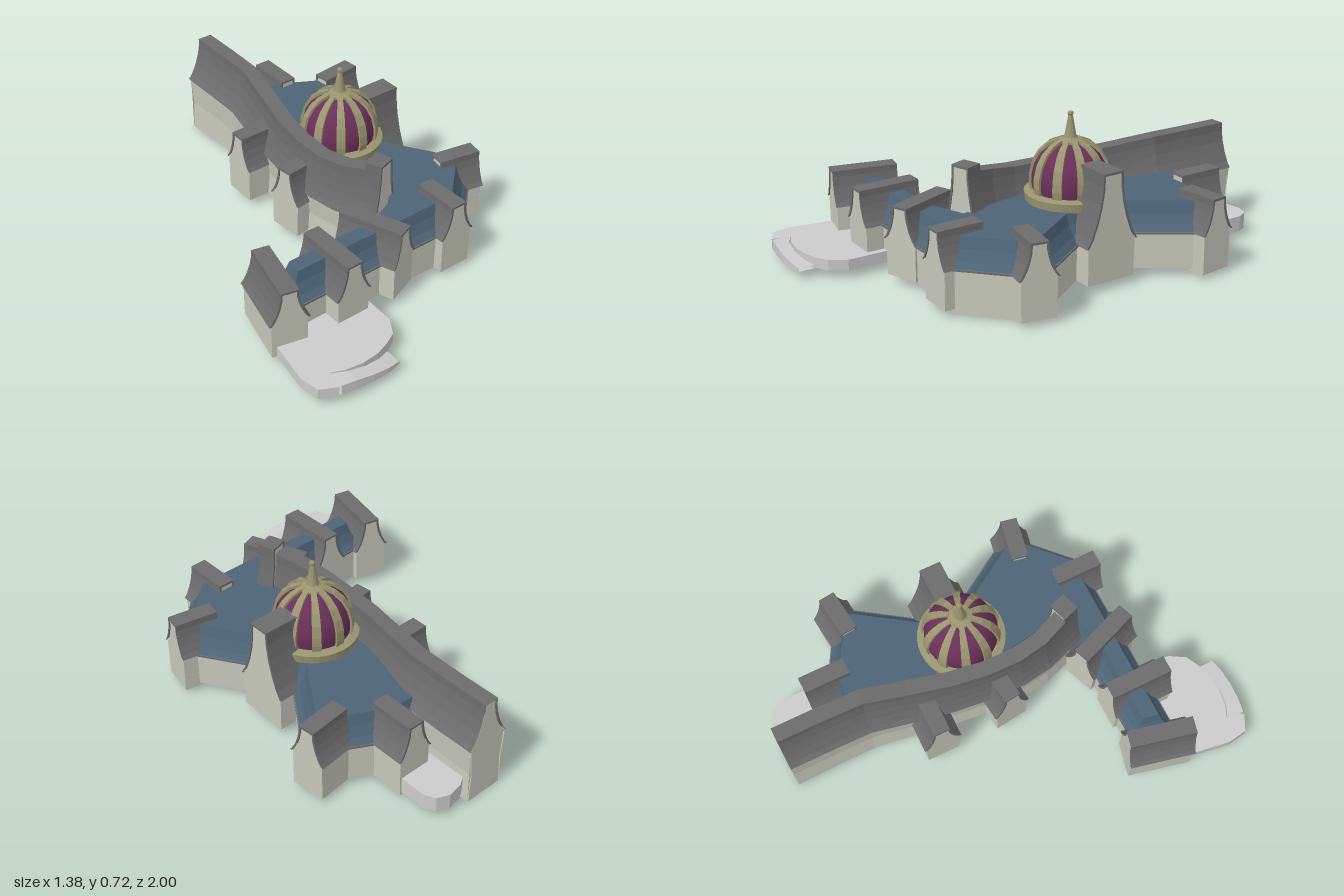
import * as THREE from 'three';
import { mergeGeometries } from 'three/addons/utils/BufferGeometryUtils.js';

const mat = (color, flatShading = true) =>
  new THREE.MeshStandardMaterial({ color, flatShading, side: THREE.DoubleSide });
const STONE = mat(0xc6c8ba), SLATE = mat(0x6c6c6c), BLUE = mat(0x4d6577);
const PAVING = mat(0xcccccc), PLUM = mat(0x6a3058, false), BRONZE = mat(0x9a9570);

function add(parent, name, geometry, material) {
  const mesh = new THREE.Mesh(geometry, material);
  mesh.name = name;
  parent.add(mesh);
  return mesh;
}

// Skin through cross-sections, each a list of [x, y, z]
function loft(sections, closed = true) {
  const n = sections[0].length, index = [];
  for (let i = 0; i < sections.length - 1; i++) {
    for (let j = 0; j < (closed ? n : n - 1); j++) {
      const a = i * n + j, b = i * n + (j + 1) % n;
      index.push(a, b, a + n, b, b + n, a + n);
    }
  }
  const g = new THREE.BufferGeometry();
  g.setAttribute('position', new THREE.Float32BufferAttribute(sections.flat(2), 3));
  g.setIndex(index);
  const flat = g.toNonIndexed();
  flat.computeVertexNormals();
  return flat;
}

// Flat polygon in plan at height y
function planCap(points, y) {
  const s = new THREE.Shape(points.map(([x, z]) => new THREE.Vector2(x, -z)));
  return new THREE.ShapeGeometry(s).rotateX(-Math.PI / 2).translate(0, y, 0);
}

// Move a plan outline inwards with mitred corners
function inset(points, d) {
  const n = points.length;
  const sign = Math.sign(THREE.ShapeUtils.area(points.map(([x, y]) => ({ x, y }))));
  const normal = (a, b) => {
    const dx = b[0] - a[0], dz = b[1] - a[1], l = Math.hypot(dx, dz);
    return [-dz / l * sign, dx / l * sign];
  };
  return points.map((p, i) => {
    const u = normal(points[(i + n - 1) % n], p), v = normal(p, points[(i + 1) % n]);
    const k = d / (1 + u[0] * v[0] + u[1] * v[1]);
    return [p[0] + (u[0] + v[0]) * k, p[1] + (u[1] + v[1]) * k];
  });
}

// Flared roof half-profile, eave to ridge, as [half width, height]
function flare(w, ridge, eave, top) {
  return [[0, 0], [0.28, 0.12], [0.6, 0.34], [0.84, 0.58], [0.98, 0.82], [1, 1]]
    .map(([t, s]) => [w + (ridge - w) * t, eave + (top - eave) * s]);
}
const mirrored = half => [...half, ...half.slice().reverse().map(([x, y]) => [-x, y])];
const at = (profile, z) => profile.map(([x, y]) => [x, y, z]);

// Buttress pavilion: stone gable ends and sides under a flared slate roof
function pavilion(parent, name, { x, z, turn = 0, len = 0.2, w = 0.09, ridge = 0.039, eave = 0.205, top = 0.362, base = 0.04 }) {
  const g = new THREE.Group();
  g.name = name;
  g.position.set(x, 0, z);
  g.rotation.y = turn;
  const outer = mirrored(flare(w, ridge, eave, top));
  const inner = mirrored(flare(w - 0.01, ridge - 0.008, eave, top - 0.01));
  const h = len / 2;
  add(g, 'roof', loft([at(inner, -h), at(outer, -h), at(outer, h), at(inner, h)], false), SLATE);
  const body = [[w - 0.012, base], ...inner, [-w + 0.012, base]];
  const face = new THREE.ShapeGeometry(new THREE.Shape(body.map(p => new THREE.Vector2(...p))));
  const e = h - 0.005;
  add(g, 'gableEnds', mergeGeometries([face.clone().translate(0, 0, e), face.clone().rotateY(Math.PI).translate(0, 0, -e)]), STONE);
  for (const s of [-1, 1]) {
    const side = new THREE.PlaneGeometry(2 * e, eave - base).rotateY(s * Math.PI / 2);
    add(g, 'sideWall', side.translate(s * (w - 0.012), (eave + base) / 2, 0), STONE);
  }
  parent.add(g);
}

// Main hall and wing: stone walls, slate eaves and a sloped blue roof
function hall(parent) {
  // x, z, foot of wall
  const plan = [[0.13, -0.71, 0.02], [0.32, -0.7, 0.02], [0.63, -0.53, 0.025], [0.635, -0.46, 0.035],
    [0.45, -0.19, 0.04], [0.45, 0.05, 0.04], [0.615, 0.31, 0.04], [0.605, 0.41, 0.005], [0.38, 0.62, 0.005],
    [0.3, 0.62, 0.03], [-0.56, 0.62, 0.04], [-0.52, 0.425, 0.04], [-0.05, 0.425, 0.04], [0.07, 0.38, 0.04],
    [0.02, 0.1, 0.04], [0.05, -0.3, 0.04], [0.13, -0.62, 0.02]];
  const ring = (d, y) => inset(plan, d).map(([x, z], i) => [x, y ?? plan[i][2], z]);
  add(parent, 'hallWalls', loft([ring(0.008), ring(0.008, 0.2)]), STONE);
  add(parent, 'hallEaves', loft([ring(0.008, 0.196), ring(-0.004, 0.2), ring(-0.004, 0.208), ring(0.004, 0.21)]), SLATE);
  add(parent, 'hallRoofSlope', loft([ring(0, 0.208), ring(0.025, 0.235), ring(0.048, 0.28), ring(0.062, 0.328)]), BLUE);
  add(parent, 'hallRoofTop', planCap(inset(plan, 0.062), 0.328), BLUE);
}

// Long curved spine with a flared ridge roof
function spine(parent) {
  // x, z, half width, eave, top, foot
  const stations = [[0.125, -1, 0.105, 0.285, 0.49, 0], [0.125, -0.8, 0.105, 0.285, 0.49, 0.012],
    [0.12, -0.6, 0.104, 0.285, 0.49, 0.028], [0.075, -0.4, 0.095, 0.265, 0.47, 0.04],
    [0.035, -0.22, 0.085, 0.25, 0.455, 0.04], [0.012, -0.05, 0.08, 0.245, 0.445, 0.04],
    [0.008, 0.1, 0.08, 0.245, 0.447, 0.04], [0.025, 0.23, 0.08, 0.25, 0.465, 0.04], [0.08, 0.38, 0.085, 0.26, 0.495, 0.04]];
  const pt = i => new THREE.Vector2(...stations[Math.min(Math.max(i, 0), stations.length - 1)].slice(0, 2));
  const sections = fn => stations.map((s, i) => {
    const t = pt(i + 1).sub(pt(i - 1)).normalize();
    return fn(s).map(([o, y]) => [s[0] + o * t.y, y, s[1] - o * t.x]);
  });
  const roof = ([, , w, eave, top]) => mirrored(flare(w, 0.035, eave, top));
  const wall = side => ([, , w, eave, , foot]) => [[side * (w - 0.012), foot], [side * (w - 0.02), (foot + eave) / 2], [side * (w - 0.008), eave]];
  add(parent, 'spineRoof', loft(sections(roof), false), SLATE);
  for (const s of [-1, 1]) {
    add(parent, 'spineWall', loft(sections(wall(s)), false), STONE);
    const lip = ([, , w, eave]) => [[s * w, eave], [s * (w - 0.012), eave - 0.006]];
    add(parent, 'spineEave', loft(sections(lip), false), SLATE);
  }
  const [x, z, w, eave, top] = stations[0];
  const end = [[0.093, 0], ...mirrored(flare(w - 0.01, 0.027, eave, top - 0.01)), [-0.093, 0]];
  const face = new THREE.ShapeGeometry(new THREE.Shape(end.map(p => new THREE.Vector2(...p))));
  add(parent, 'spineGable', face.rotateY(Math.PI).translate(x, 0, z + 0.005), STONE);
}

// Ribbed dome with base ring and spire
function dome(parent) {
  const g = new THREE.Group();
  g.name = 'dome';
  g.position.set(0.228, 0, -0.065);
  const lathe = (pts, n) => new THREE.LatheGeometry(pts.map(p => new THREE.Vector2(...p)), n);
  const curve = [[0.155, 0.34], [0.166, 0.4], [0.165, 0.44], [0.153, 0.49], [0.127, 0.535], [0.09, 0.567], [0.045, 0.585], [0, 0.59]];
  add(g, 'domeShell', lathe(curve, 40), PLUM);
  add(g, 'domeRing', lathe([[0.15, 0.325], [0.195, 0.325], [0.2, 0.365], [0.175, 0.372], [0.155, 0.372]], 32), BRONZE);
  const inner = curve.slice(0, 7);
  const outer = inner.map(([r, y], i) => [r + 0.012 - i * 0.001, y + i * 0.002]).reverse();
  const rib = new THREE.ExtrudeGeometry(new THREE.Shape([...inner, ...outer].map(p => new THREE.Vector2(...p))),
    { depth: 1, bevelEnabled: false }).translate(0, 0, -0.5);
  const p = rib.attributes.position;
  for (let i = 0; i < p.count; i++) p.setZ(i, p.getZ(i) * (0.014 + 0.15 * p.getX(i)));
  rib.computeVertexNormals();
  for (let i = 0; i < 10; i++) {
    add(g, 'domeRib', rib, BRONZE).rotation.y = Math.PI / 2 + i * Math.PI / 5;
  }
  add(g, 'spire', lathe([[0.055, 0.583], [0.055, 0.592], [0.036, 0.598], [0.028, 0.604], [0.024, 0.62],
    [0.01, 0.7], [0.013, 0.706], [0.011, 0.715], [0, 0.72]], 12), BRONZE);
  parent.add(g);
}

function slab(parent, name, plan, bottom, top) {
  const ring = y => plan.map(([x, z]) => [x, y, z]);
  add(parent, name, mergeGeometries([loft([ring(bottom), ring(top)]),
    ...[bottom, top].map(y => planCap(plan, y).toNonIndexed())].map(g => g.deleteAttribute('uv'))), PAVING);
}

function terraces(parent) {
  slab(parent, 'frontTerrace', [[-0.65, 0.6], [-0.69, 0.85], [-0.675, 0.94], [-0.6, 0.978], [-0.58, 0.895],
    [-0.52, 0.92], [-0.44, 0.932], [-0.36, 0.925], [-0.3, 0.905], [-0.24, 0.875], [-0.195, 0.8], [-0.19, 0.6]], 0.04, 0.09);
  // Ramp curling down along the front edge
  const ramp = [[-0.59, 0.895, 0.978, 0.09], [-0.52, 0.927, 0.99, 0.088], [-0.44, 0.939, 0.998, 0.077],
    [-0.36, 0.932, 0.996, 0.065], [-0.3, 0.912, 0.985, 0.055]];
  add(parent, 'frontRamp', loft(ramp.map(([x, a, b, y]) => [[x, 0.04, a], [x, y, a], [x, y, b], [x, 0.04, b]])), PAVING);
  slab(parent, 'rearTerrace', [[0.2, -0.65], [0.2, -0.95], [0.25, -0.98], [0.32, -0.992], [0.375, -0.97],
    [0.4, -0.92], [0.4, -0.65]], 0.035, 0.11);
}

export function createModel() {
  const model = new THREE.Group();
  model.name = 'domedHall';
  hall(model);
  spine(model);
  dome(model);
  terraces(model);
  const q = Math.PI / 2;
  const pavilions = {
    wingEndPavilion: { x: -0.57, z: 0.525, turn: -0.23, len: 0.3 },
    wingMiddlePavilion: { x: -0.3, z: 0.555, len: 0.29 },
    wingCornerPavilion: { x: -0.045, z: 0.515, turn: 0.36, len: 0.3 },
    frontPavilion: { x: 0.3, z: 0.555, len: 0.215, base: 0.03 },
    leftFrontPavilion: { x: 0.555, z: 0.365, turn: 1.38, base: 0.025 },
    leftCentralPavilion: { x: 0.435, z: -0.07, turn: q, len: 0.19, w: 0.132, ridge: 0.05, eave: 0.21, top: 0.525 },
    leftRearPavilion: { x: 0.575, z: -0.52, turn: 1.68, base: 0.025 },
    rearPavilion: { x: 0.33, z: -0.695, turn: Math.PI, len: 0.215, base: 0.02 },
    rightRearPavilion: { x: -0.055, z: -0.34, turn: -q, len: 0.18 },
    rightFrontPavilion: { x: -0.06, z: 0, turn: -1.45, len: 0.16 },
    spineEndPavilion: { x: 0.09, z: 0.375, turn: 0.32, len: 0.08, w: 0.095, ridge: 0.045, eave: 0.24, top: 0.525 },
  };
  for (const [name, options] of Object.entries(pavilions)) pavilion(model, name, options);
  return model;
}
